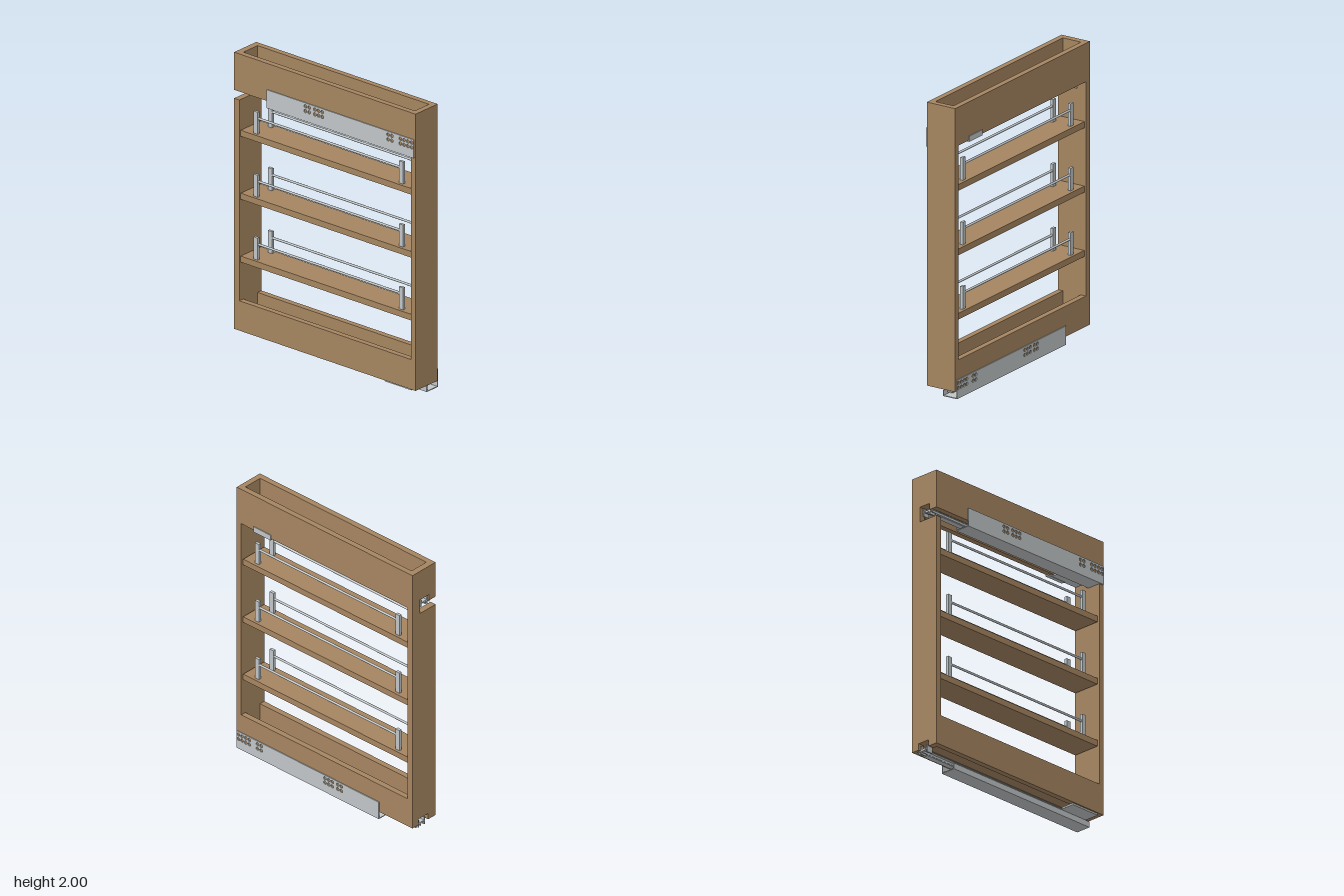
import * as THREE from 'three';

const wood = new THREE.MeshStandardMaterial({ color: 0xa58560 });
wood.name = 'wood';
const metal = new THREE.MeshStandardMaterial({ color: 0xc0c5c7 });
metal.name = 'metal';

// Box given by its opposite corners; x limits may come in either order
function box(parent, name, mat, [x0, x1], [y0, y1], [z0, z1]) {
  const m = new THREE.Mesh(new THREE.BoxGeometry(Math.abs(x1 - x0), y1 - y0, z1 - z0), mat);
  m.position.set((x0 + x1) / 2, (y0 + y1) / 2, (z0 + z1) / 2);
  m.name = name;
  parent.add(m);
  return m;
}

function createFrame() {
  const g = new THREE.Group();
  g.name = 'frame';
  box(g, 'frontPanel', wood, [-0.11, 0.11], [0.05, 2], [0.735, 0.775]);

  // Back panel, notched for the ends of both slides
  const outline = [
    [-0.11, 0.05], [-0.04, 0.05], [-0.04, 0.095], [0.05, 0.095], [0.05, 0.05], [0.11, 0.05],
    [0.11, 2], [-0.11, 2], [-0.11, 1.735], [-0.05, 1.735], [-0.05, 1.78], [0.04, 1.78],
    [0.04, 1.675], [-0.11, 1.675],
  ].map(([x, y]) => new THREE.Vector2(x, y));
  const back = new THREE.Mesh(
    new THREE.ExtrudeGeometry(new THREE.Shape(outline), { depth: 0.045, bevelEnabled: false }), wood);
  back.position.z = -0.775;
  back.name = 'backPanel';
  g.add(back);

  // Side boards and recessed floors of the upper and lower trays
  const length = [-0.73, 0.735];
  for (const [name, y0, y1] of [['lower', 0.05, 0.26], ['upper', 1.735, 2]]) {
    for (const s of [-1, 1]) box(g, name + 'SideBoard', wood, [s * 0.07, s * 0.11], [y0, y1], length);
    box(g, name + 'Floor', wood, [-0.07, 0.07], [y0 + 0.045, y0 + 0.085], length);
  }
  return g;
}

// Shelf with a guard rail along each long edge
function createShelf() {
  const g = new THREE.Group();
  g.name = 'shelf';
  box(g, 'shelfBoard', wood, [-0.1, 0.1], [0, 0.043], [-0.727, 0.727]);
  for (const s of [-1, 1]) {
    for (const z of [-0.617, 0.625]) {
      box(g, 'railPost', metal, [s * 0.07 - 0.01, s * 0.07 + 0.01], [0.043, 0.198], [z - 0.017, z + 0.017]);
    }
    const rod = new THREE.Mesh(new THREE.CylinderGeometry(0.008, 0.008, 1.22, 12), metal);
    rod.rotation.x = Math.PI / 2;
    rod.position.set(s * 0.07, 0.151, 0.004);
    rod.name = 'guardRail';
    g.add(rod);
  }
  return g;
}

// Undermount slide; s is the side its mounting plate lies on
function createSlide(s) {
  const g = new THREE.Group();
  g.name = 'slide';
  const span = [-0.488, 0.767];

  // Perforated mounting plate, drawn in z and y
  const plate = new THREE.Shape();
  plate.moveTo(span[0], 0);
  plate.lineTo(span[1], 0);
  plate.lineTo(span[1], 0.13);
  plate.lineTo(span[0], 0.13);
  plate.closePath();
  for (const z of [0.75, 0.718, 0.686, 0.654, 0.582, 0.55, -0.013, -0.045, -0.077, -0.125, -0.157]) {
    for (const y of [0.072, 0.106]) {
      plate.holes.push(new THREE.Path().absarc(z, y, 0.012, 0, Math.PI * 2, true));
    }
  }
  const geo = new THREE.ExtrudeGeometry(plate, { depth: 0.006, bevelEnabled: false, curveSegments: 8 });
  geo.rotateY(-Math.PI / 2);
  const side = new THREE.Mesh(geo, metal);
  side.position.x = s > 0 ? 0.121 : -0.115;
  side.name = 'mountingPlate';
  g.add(side);

  // Outer channel
  box(g, 'channelBase', metal, [s * 0.01, s * 0.115], [0, 0.006], span);
  box(g, 'channelWall', metal, [s * 0.01, s * 0.016], [0.006, 0.04], span);

  // Middle and inner runners
  box(g, 'middleRunner', metal, [s * 0.022, s * 0.062], [0.02, 0.028], [-0.72, 0.735]);
  box(g, 'innerRunnerTop', metal, [s * 0.0, s * 0.068], [0.04, 0.045], [-0.765, 0.73]);
  for (const x of [0.02, 0.06]) {
    box(g, 'innerRunnerWall', metal, [s * x, s * (x + 0.005)], [0.026, 0.042], [-0.765, 0.73]);
  }

  // Rear hook and front release catch
  for (const x of [-0.02, 0.035]) {
    box(g, 'rearHook', metal, [s * x, s * (x + 0.008)], [0.02, 0.075], [-0.765, -0.72]);
  }
  box(g, 'rearHookBridge', metal, [s * -0.02, s * 0.043], [0.045, 0.053], [-0.765, -0.72]);
  box(g, 'releaseCatch', metal, [s * -0.1, s * 0.0], [0.038, 0.05], [0.5, 0.73]);
  return g;
}

export function createModel() {
  const model = new THREE.Group();
  model.name = 'pullOutRack';
  model.add(createFrame());

  for (const y of [0.53, 0.973, 1.417]) {
    const shelf = createShelf();
    shelf.position.y = y;
    model.add(shelf);
  }

  const lower = createSlide(1);
  lower.name = 'lowerSlide';
  const upper = createSlide(-1);
  upper.name = 'upperSlide';
  upper.position.y = 1.69;
  // Release lever reaching outside the upper tray
  box(upper, 'releaseLever', metal, [0.09, 0.117], [0.036, 0.045], [0.47, 0.62]);
  box(upper, 'releaseTab', metal, [0.111, 0.117], [0.045, 0.075], [0.47, 0.62]);
  model.add(lower, upper);
  return model;
}
